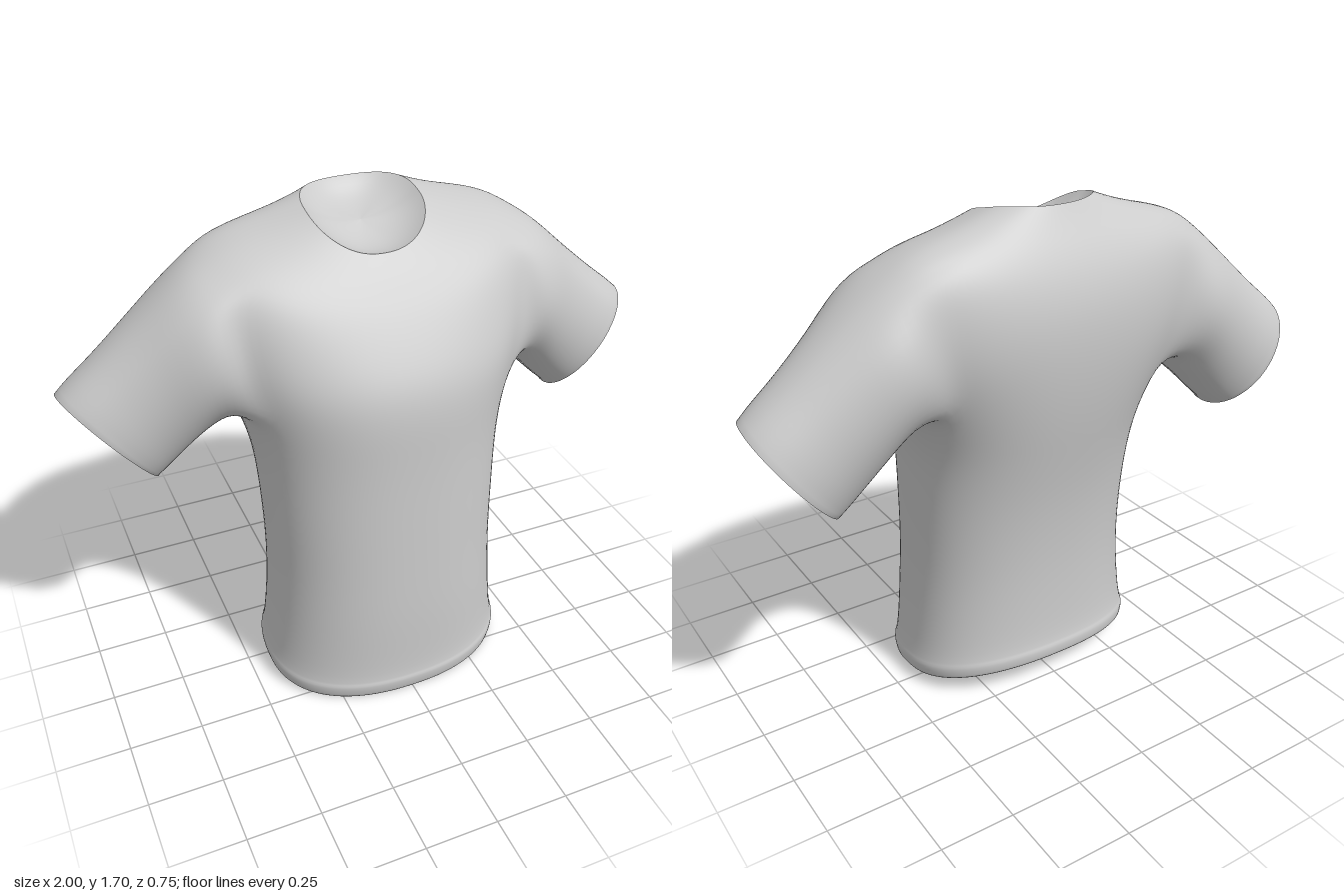
import * as THREE from 'three';

const COLS = 96, STEP = 4;            // points around the body, rows per control ring
const ROW0 = 36, ROW1 = 50;           // armhole rows
const BACK = -10, FRONT = 9;          // armhole columns, counted from the side seam

// Body rings: half width, side z, front y, front z, side y, back y, back z, back roundness
const bodyRings = [
  [0.415, 0.05, 0.04, 0.345, 0.065, 0.13, -0.25],
  [0.430, 0.05, 0.003, 0.362, 0.03, 0.10, -0.272],
  [0.439, 0.05, 0.05, 0.373, 0.07, 0.135, -0.277],
  [0.430, 0.05, 0.08, 0.366, 0.11, 0.165, -0.268],
  [0.408, 0.05, 0.30, 0.370, 0.32, 0.35, -0.261],
  [0.400, 0.04, 0.50, 0.366, 0.50, 0.52, -0.265],
  [0.405, 0.03, 0.70, 0.361, 0.70, 0.72, -0.285],
  [0.415, 0.01, 0.88, 0.356, 0.88, 0.90, -0.32],
  [0.440, -0.03, 1.00, 0.355, 1.00, 1.02, -0.345],
  [0.475, -0.07, 1.12, 0.354, 1.10, 1.15, -0.366, 0.75],
  [0.525, -0.11, 1.22, 0.338, 1.25, 1.28, -0.377, 0.6],
  [0.550, -0.12, 1.32, 0.288, 1.41, 1.40, -0.373, 0.55],
  [0.545, -0.12, 1.42, 0.226, 1.555, 1.50, -0.349, 0.6],
  [0.460, -0.11, 1.48, 0.182, 1.610, 1.58, -0.314, 0.75],
  [0.320, -0.10, 1.53, 0.144, 1.642, 1.64, -0.28],
  [0.190, -0.08, 1.58, 0.10, 1.682, 1.703, -0.245],
];

// Sleeve rings: top x, top y, bottom x, bottom y, front z, back z, front lean
const sleeveRings = [
  [0.60, 1.535, 0.505, 1.055, 0.152, -0.350, 0],
  [0.75, 1.402, 0.60, 0.970, 0.098, -0.325, 0],
  [0.88, 1.288, 0.665, 0.903, 0.068, -0.303, 0.012],
  [1.00, 1.185, 0.73, 0.845, 0.048, -0.288, 0.026],
  [0.970, 1.175, 0.718, 0.875, 0.030, -0.270, 0.026],
];

const pow = (v, p) => Math.sign(v) * Math.abs(v) ** p;

function bodyPoint([w, zs, yf, zf, ys, yb, zb, round = 0.82], angle) {
  const c = Math.cos(angle), s = Math.sin(angle);
  const mid = (yf + yb) / 2;
  const z = s > 0 ? (zf - zs) * pow(s, 0.88) : (zs - zb) * pow(s, round);
  return new THREE.Vector3(
    w * pow(c, 0.88),
    mid + (yf - yb) / 2 * s + (ys - mid) * c * c,
    zs + z);
}

function sleevePoint([tx, ty, bx, by, zf, zb, lean], angle, side) {
  const s = Math.sin(angle), c = Math.cos(angle);
  return new THREE.Vector3(
    side * ((tx + bx) / 2 + (tx - bx) / 2 * s - lean * c * 0.78),
    (ty + by) / 2 + (ty - by) / 2 * s + lean * c * 0.62,
    (zf + zb) / 2 + (zf - zb) / 2 * c);
}

// Relaxes the cloth so sleeves flow into the body; fixed points stay put
function relax(points, faces, fixed, passes) {
  const near = points.map(() => new Set());
  for (let f = 0; f < faces.length; f += 3) {
    for (let e = 0; e < 3; e++) {
      const a = faces[f + e], b = faces[f + (e + 1) % 3];
      near[a].add(b);
      near[b].add(a);
    }
  }
  for (let n = 0; n < passes; n++) {
    const next = points.map((p, i) => {
      if (fixed.has(i) || !near[i].size) return p.clone();
      const mean = new THREE.Vector3();
      near[i].forEach((k) => mean.add(points[k]));
      return p.clone().lerp(mean.divideScalar(near[i].size), 0.5);
    });
    next.forEach((p, i) => points[i].copy(p));
  }
}

function clothMesh(name, points, faces) {
  const geometry = new THREE.BufferGeometry().setFromPoints(points);
  geometry.setIndex(faces);
  geometry.computeVertexNormals();
  const mesh = new THREE.Mesh(geometry, new THREE.MeshStandardMaterial({
    color: 0xcccccc, roughness: 0.9, side: THREE.DoubleSide,
  }));
  mesh.name = name;
  return mesh;
}

// Bowl closing an opening; inward points into the shirt
function lining(name, edge, inward) {
  const count = edge.length, rings = 10, points = [], faces = [];
  const centre = edge.reduce((sum, p) => sum.add(p), new THREE.Vector3()).divideScalar(count);
  for (let r = 0; r <= rings; r++) {
    const t = (r / rings) ** 1.5;
    for (const p of edge) {
      points.push(p.clone().lerp(centre, t).addScaledVector(inward, 1 - (1 - t) ** 3));
    }
  }
  for (let r = 0; r < rings; r++) {
    for (let k = 0; k < count; k++) {
      const a = r * count + k, b = r * count + (k + 1) % count;
      faces.push(a, a + count, b);
      if (r < rings - 1) faces.push(b, a + count, b + count);
    }
  }
  return clothMesh(name, points, faces);
}

export function createModel() {
  const points = [], faces = [], fixed = new Set();
  const quad = (a, up, along, far, flip) => {
    if (flip) faces.push(a, along, up, along, far, up);
    else faces.push(a, up, along, along, up, far);
  };

  // Body: a smooth curve up every column, from the hem fold to the neckline
  const rows = (bodyRings.length - 1) * STEP;
  const at = (row, col) => ((col + COLS) % COLS) * (rows + 1) + row;
  for (let j = 0; j < COLS; j++) {
    const angle = j / COLS * Math.PI * 2;
    const curve = new THREE.CatmullRomCurve3(bodyRings.map((r) => bodyPoint(r, angle)));
    for (let i = 0; i <= rows; i++) {
      if (i < 3 * STEP || i === rows) fixed.add(points.length);
      points.push(curve.getPoint(i / rows));
    }
  }

  // Body faces, leaving out the two armholes
  const inArmhole = (i, j) => {
    if (i < ROW0 || i >= ROW1) return false;
    const left = j >= COLS / 2 ? j - COLS : j;
    const right = COLS / 2 - 1 - j;
    return (left >= BACK && left < FRONT) || (right >= BACK && right < FRONT);
  };
  for (let j = 0; j < COLS; j++) {
    for (let i = 0; i < rows; i++) {
      if (!inArmhole(i, j)) quad(at(i, j), at(i + 1, j), at(i, j + 1), at(i + 1, j + 1));
    }
  }

  // Sleeves: grown from the armhole edge out to the folded cuff
  const steps = sleeveRings.length * 5;
  const cuffs = [1, -1].map((side) => {
    const col = (k) => side > 0 ? k : COLS / 2 - k;
    const loop = [];
    for (let k = BACK; k < FRONT; k++) loop.push(at(ROW0, col(k)));
    for (let r = ROW0; r < ROW1; r++) loop.push(at(r, col(FRONT)));
    for (let k = FRONT; k > BACK; k--) loop.push(at(ROW1, col(k)));
    for (let r = ROW1; r > ROW0; r--) loop.push(at(r, col(BACK)));

    const strands = loop.map((start) => {
      const p = points[start];
      const angle = Math.atan2((p.y - 1.32) / 0.24, (p.z + 0.1) / 0.22);
      const curve = new THREE.CatmullRomCurve3(
        [p.clone(), ...sleeveRings.map((r) => sleevePoint(r, angle, side))]);
      const strand = [start];
      for (let t = 1; t <= steps; t++) {
        if (t >= steps - 5) fixed.add(points.length);
        strand.push(points.length);
        points.push(curve.getPoint(t / steps));
      }
      return strand;
    });
    strands.forEach((strand, n) => {
      const next = strands[(n + 1) % strands.length];
      for (let t = 0; t < steps; t++) {
        quad(strand[t], strand[t + 1], next[t], next[t + 1], side < 0);
      }
    });
    const edge = strands.map((strand) => points[strand[steps]]);
    return side > 0 ? edge : edge.reverse();
  });

  relax(points, faces, fixed, 7);

  // Linings close the neck, hem and cuffs
  const bodyEdge = (row) => Array.from({ length: COLS }, (_, j) => points[at(row, j)]);
  const group = new THREE.Group();
  group.name = 'tShirt';
  group.add(
    clothMesh('shirt', points, faces),
    lining('neckLining', bodyEdge(rows), new THREE.Vector3(0, -0.05, -0.02)),
    lining('hemLining', bodyEdge(0).reverse(), new THREE.Vector3(0, 0.1, 0)),
    lining('leftCuffLining', cuffs[0], new THREE.Vector3(-0.16, 0.12, 0)),
    lining('rightCuffLining', cuffs[1], new THREE.Vector3(0.16, 0.12, 0)),
  );
  return group;
}
